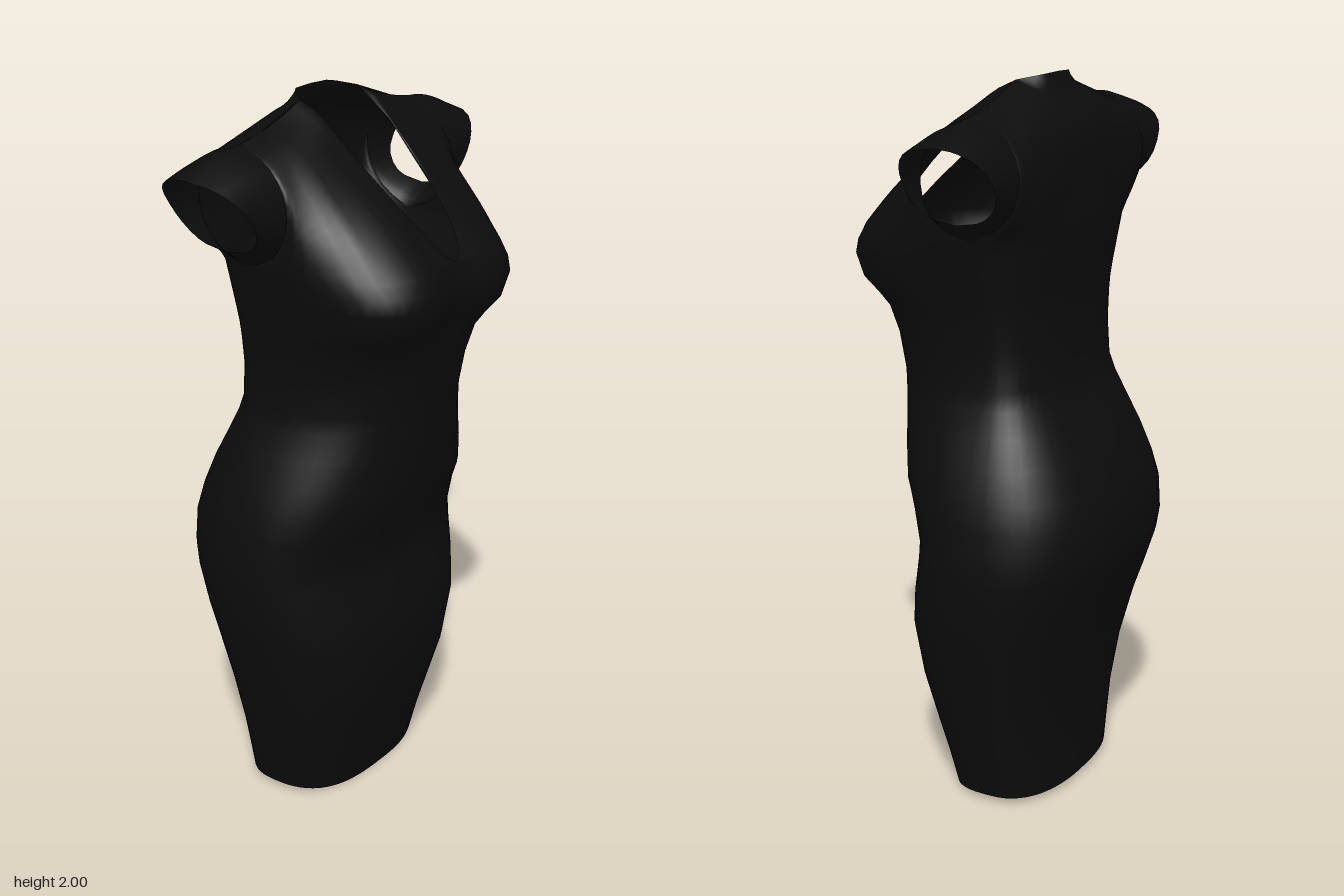
import * as THREE from 'three';
import { mergeVertices } from 'three/addons/utils/BufferGeometryUtils.js';

// Body cross-sections: height, half width, front z, back z, front squareness
const RINGS = [
  [0, .285, .105, -.23, 2.6], [.1, .303, .13, -.232, 2.6], [.2, .325, .16, -.236, 2.6],
  [.35, .36, .207, -.257, 2.5], [.5, .393, .224, -.297, 2.5], [.6, .411, .214, -.333, 2.4],
  [.7, .419, .192, -.367, 2.4], [.76, .419, .186, -.378, 2.4], [.85, .411, .212, -.374, 2.4],
  [.92, .397, .243, -.352, 2.4], [1, .374, .257, -.317, 2.4], [1.08, .343, .268, -.275, 2.4],
  [1.15, .318, .277, -.237, 2.4], [1.2, .306, .284, -.217, 2.4], [1.3, .305, .302, -.208, 2.5],
  [1.38, .316, .32, -.206, 2.8], [1.42, .323, .345, -.207, 3.2], [1.46, .331, .373, -.212, 3.7],
  [1.52, .343, .386, -.222, 3.9], [1.56, .351, .383, -.229, 3.5], [1.6, .36, .368, -.235, 3],
];
const SIDE_Z = -.07, STEPS = 14, NECK = 1 / 3;

// Column positions across the width, from right (-1) to left (+1)
const HALF = [.1, .18, .24, .285, .315, NECK, .41, .5, .6, .7, .78, .85, .9, .945, .975, .993, 1];
const COLUMNS = [...HALF.map(s => -s).reverse(), 0, ...HALF];

// Shoulder arches [y, z] at growing x: front edge up to the shoulder, then down the back
const FRONT = [
  [.12, [[1.6, .36], [1.7, .265], [1.8, .155], [1.88, .07], [1.95, 0], [1.985, -.07]]],
  [.2, [[1.6, .36], [1.69, .27], [1.78, .17], [1.87, .075], [1.92, .01], [1.952, -.07]]],
  [.28, [[1.6, .3], [1.67, .24], [1.75, .165], [1.84, .085], [1.9, .01], [1.93, -.07]]],
  [.33, [[1.6, .18], [1.65, .16], [1.72, .125], [1.81, .08], [1.88, .02], [1.92, -.07]]],
  [.36, [[1.6, -.07], [1.635, .02], [1.70, .065], [1.79, .07], [1.87, .02], [1.915, -.07]]],
];
const BACK = [
  [0, [[2, -.13], [1.955, -.15], [1.9, -.205], [1.84, -.23], [1.72, -.235], [1.6, -.235]]],
  [.075, [[1.998, -.128], [1.955, -.15], [1.9, -.205], [1.84, -.23], [1.72, -.235], [1.6, -.235]]],
  [.12, [[1.985, -.07], [1.95, -.15], [1.9, -.2], [1.83, -.23], [1.72, -.235], [1.6, -.235]]],
  [.28, [[1.93, -.07], [1.905, -.155], [1.85, -.21], [1.77, -.228], [1.68, -.228], [1.6, -.2]]],
  [.36, [[1.915, -.07], [1.885, -.155], [1.8, -.208], [1.71, -.2], [1.645, -.15], [1.6, -.07]]],
];
const CUFF_FRONT = [[1.657, -.07], [1.675, .02], [1.72, .052], [1.79, .052], [1.842, .01], [1.862, -.085]];
const CUFF_BACK = [[1.862, -.085], [1.852, -.145], [1.81, -.195], [1.73, -.198], [1.675, -.15], [1.657, -.07]];

const curve = pts => new THREE.CatmullRomCurve3(pts.map(([y, z]) => new THREE.Vector3(0, y, z)));

// Point of the body section at column s, on the front or the back
function ringPoint([y, w, f, b, n], s, front) {
  const a = Math.abs(s), e = front ? n : 2.5;
  let z = SIDE_Z + ((front ? f : b) - SIDE_Z) * Math.pow(Math.max(0, 1 - a ** e), 1 / e);
  if (front && y > 1.4) z -= .03 * Math.exp(-((s / .3) ** 2));
  const hem = y === 0 ? (front ? .018 * a ** 4 : .018) : 0;
  return new THREE.Vector3(s * w, y + hem, z);
}

// Shoulder arch at distance x, blended between the neighbouring key arches
function archPoint(keys, x, t) {
  let i = 0;
  while (i < keys.length - 2 && x > keys[i + 1][0]) i++;
  const [x0, p0] = keys[i], [x1, p1] = keys[i + 1];
  const k = THREE.MathUtils.clamp((x - x0) / (x1 - x0), 0, 1);
  return curve(p0).getPoint(t).lerp(curve(p1).getPoint(t), k);
}

// Column of the yoke; the front is cut short near the middle by the neckline
function yokeColumn(s, front) {
  const ring = RINGS[RINGS.length - 1], base = ringPoint(ring, s, front);
  const x = Math.abs(base.x), keys = front ? FRONT : BACK;
  const q = Math.min(1, Math.abs(s) / NECK);
  const cut = front ? 1 - Math.sqrt(1 - q * q) : 1;
  const shift = base.clone().sub(archPoint(keys, x, front ? 0 : 1)).setX(0);
  return Array.from({ length: STEPS + 1 }, (_, j) => {
    const t = (j / STEPS) * cut, p = archPoint(keys, x, t);
    p.addScaledVector(shift, (front ? 1 - t : t) ** 3);
    return p.setX(base.x);
  });
}

// Surfaces from columns of points (columns run to +x, points run upward on the front)
function surface(grids) {
  const pos = [], index = [];
  for (const cols of grids) {
    const start = pos.length / 3, n = cols[0].length;
    cols.forEach(col => col.forEach(p => pos.push(p.x, p.y, p.z)));
    for (let i = 0; i < cols.length - 1; i++) for (let j = 0; j < n - 1; j++) {
      const a = start + i * n + j, b = a + n;
      index.push(a, b, b + 1, a, b + 1, a + 1);
    }
  }
  const raw = new THREE.BufferGeometry();
  raw.setAttribute('position', new THREE.Float32BufferAttribute(pos, 3));
  raw.setIndex(index);
  const geo = mergeVertices(raw, 1e-4);
  geo.computeVertexNormals();
  return geo;
}

// Cap sleeve: closed loops from the armhole to the slanted cuff
function sleeveColumns(side) {
  const cuff = [curve(CUFF_FRONT), curve(CUFF_BACK)];
  const cols = [];
  for (let i = 0; i <= 6; i++) {
    const k = i / 6, col = [];
    [FRONT, BACK].forEach((keys, h) => {
      for (let j = h; j <= STEPS; j++) {
        const p = archPoint(keys, .36, j / STEPS).setX(.36);
        const end = cuff[h].getPoint(j / STEPS);
        const up = THREE.MathUtils.clamp((end.y - 1.657) / .205, 0, 1);
        end.x = .43 + .13 * up ** 1.6;
        const y = THREE.MathUtils.lerp(p.y, end.y, up > .5 ? k ** 1.7 : k ** .7);
        p.lerp(end, k).setY(y);
        p.x *= side;
        col.push(p);
      }
    });
    cols.push(col);
  }
  return side > 0 ? cols : cols.reverse();
}

export function createModel() {
  const group = new THREE.Group();
  const black = new THREE.MeshStandardMaterial({ color: 0x0c0c0c, side: THREE.DoubleSide });
  black.name = 'black fabric';
  const add = (name, grids) => {
    const mesh = new THREE.Mesh(surface(grids), black);
    mesh.name = name;
    group.add(mesh);
  };

  // Skirt and bodice with the open yoke above
  const bodyFront = COLUMNS.map(s => RINGS.map(r => ringPoint(r, s, true)));
  const bodyBack = COLUMNS.map(s => RINGS.map(r => ringPoint(r, s, false)).reverse());
  const yokeFront = COLUMNS.map(s => yokeColumn(s, true));
  const yokeBack = COLUMNS.map(s => yokeColumn(s, false));
  add('dressBody', [bodyFront, bodyBack, yokeFront, yokeBack]);

  // Sleeves
  add('leftSleeve', [sleeveColumns(1)]);
  add('rightSleeve', [sleeveColumns(-1)]);
  return group;
}
